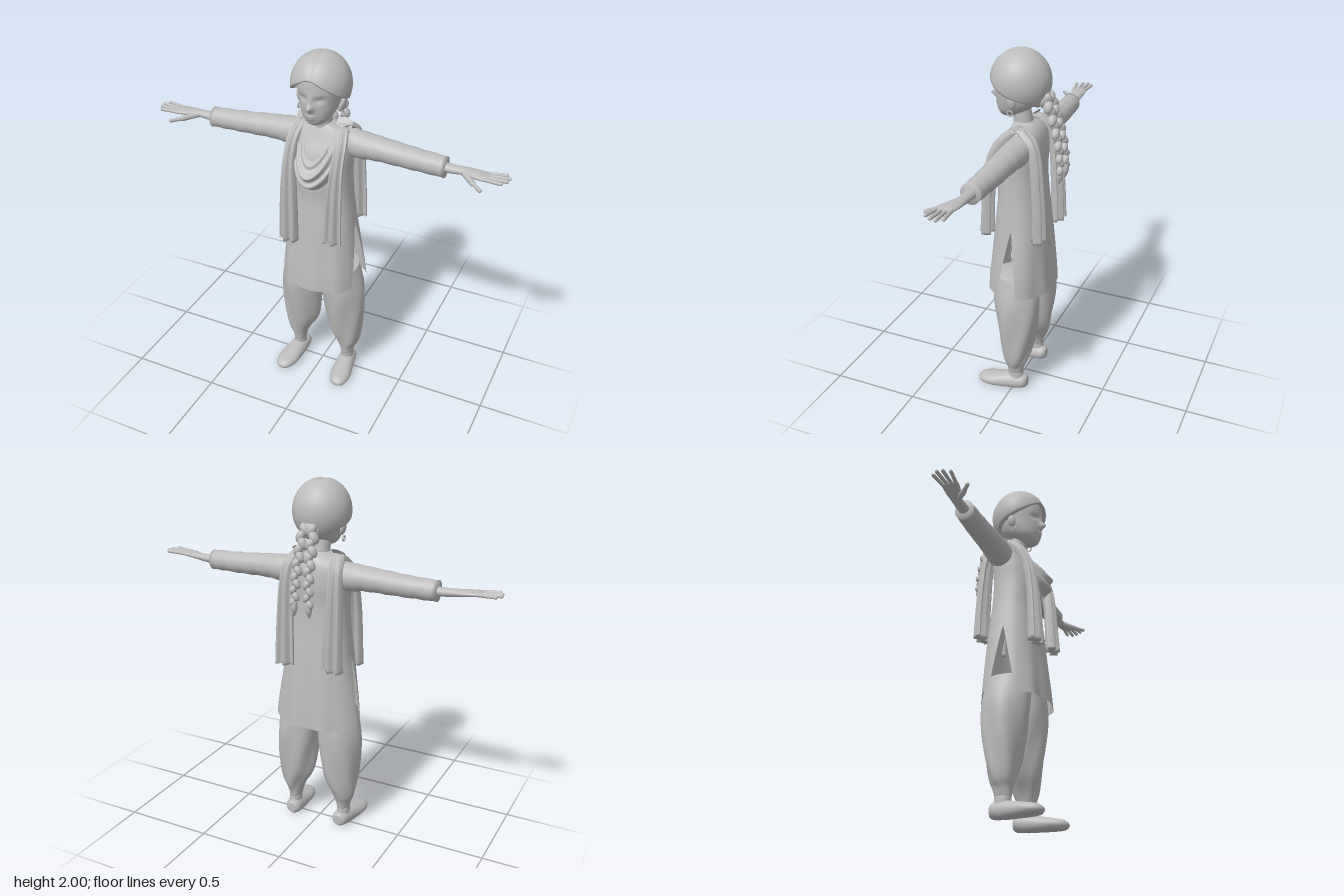
import * as THREE from 'three';
import { mergeGeometries } from 'three/addons/utils/BufferGeometryUtils.js';

const clay = new THREE.MeshStandardMaterial({ color: 0xbcbcbc, side: THREE.DoubleSide });
clay.name = 'clay grey';

// Smooth interpolation through rows of numbers, t in 0..1
function at(rows, t) {
  const f = t * (rows.length - 1), i = Math.min(Math.floor(f), rows.length - 2), k = f - i;
  const row = j => rows[Math.max(0, Math.min(rows.length - 1, j))];
  return row(0).map((_, n) => {
    const [a, b, c, d] = [row(i - 1)[n], row(i)[n], row(i + 1)[n], row(i + 2)[n]];
    return b + 0.5 * k * (c - a + k * (2 * a - 5 * b + 4 * c - d + k * (3 * (b - c) + d - a)));
  });
}

// Surface from point(u, v), optionally closed around u
function grid(nu, nv, point, closed = false) {
  const pos = [], idx = [], cols = closed ? nu : nu + 1;
  for (let j = 0; j <= nv; j++)
    for (let i = 0; i < cols; i++) pos.push(...point(i / nu, j / nv));
  for (let j = 0; j < nv; j++)
    for (let i = 0; i < nu; i++) {
      const a = j * cols + i, b = j * cols + (i + 1) % cols, c = a + cols, d = b + cols;
      idx.push(a, c, b, b, c, d);
    }
  const g = new THREE.BufferGeometry();
  g.setAttribute('position', new THREE.Float32BufferAttribute(pos, 3));
  g.setIndex(idx);
  g.computeVertexNormals();
  return g;
}

// Capped loft; sections are [along, centre1, centre2, radius1, radius2]
function loft(axis, sections, seg = 32, shape = null, e = 1) {
  const n = (sections.length - 1) * 6;
  const pw = v => Math.sign(v) * Math.abs(v) ** e;
  return grid(seg, n + 2, (u, v) => {
    const r = Math.round(v * (n + 2)) - 1, t = Math.max(0, Math.min(n, r)) / n;
    const cap = r < 0 || r > n ? 0 : 1, a = u * Math.PI * 2;
    const [s, c1, c2, r1, r2] = at(sections, t);
    const p = c1 + cap * r1 * pw(Math.cos(a)), q = c2 + cap * r2 * pw(Math.sin(a));
    const out = axis === 'y' ? [p, s, q] : axis === 'x' ? [s, q, p] : [q, p, s];
    if (shape && cap) shape(out, a, t);
    return out;
  }, true);
}

function ball(x, y, z, rx, ry, rz, tilt = 0) {
  return new THREE.SphereGeometry(1, 16, 12).scale(rx, ry, rz).rotateZ(tilt).translate(x, y, z);
}

// Rounded finger from a to b
function finger(a, b, r) {
  const p = new THREE.Vector3(...a), d = new THREE.Vector3(...b).sub(p), len = d.length();
  const g = new THREE.CapsuleGeometry(r, len, 5, 10).translate(0, len / 2, 0);
  g.applyQuaternion(new THREE.Quaternion().setFromUnitVectors(new THREE.Vector3(0, 1, 0), d.normalize()));
  return g.translate(...p.toArray());
}

function mirrored(g) {
  const m = g.clone().scale(-1, 1, 1), ix = m.index.array;
  for (let i = 0; i < ix.length; i += 3) [ix[i], ix[i + 1]] = [ix[i + 1], ix[i]];
  m.computeVertexNormals();
  return m;
}

const bump = (x, y, sx, sy) => Math.exp(-((x / sx) ** 2) - (y / sy) ** 2);

export function createModel() {
  const model = new THREE.Group();
  const add = (name, g) => {
    const m = new THREE.Mesh(g, clay);
    m.name = name;
    model.add(m);
  };
  const pair = (name, g) => { add(name + 'Left', g); add(name + 'Right', mirrored(g)); };

  // Head with sculpted nose, eye sockets and lips
  add('head', loft('y', [
    [1.635, 0, 0.09, 0.02, 0.02], [1.65, 0, 0.08, 0.05, 0.052], [1.68, 0, 0.06, 0.078, 0.085],
    [1.72, 0, 0.04, 0.096, 0.112], [1.77, 0, 0.03, 0.108, 0.122], [1.83, 0, 0.022, 0.118, 0.133],
    [1.9, 0, 0.02, 0.11, 0.125], [1.95, 0, 0.02, 0.08, 0.09], [1.98, 0, 0.02, 0.03, 0.03],
  ], 80, p => {
    if (p[2] < 0.06) return;
    const [x, y] = p;
    p[2] += 0.032 * bump(x, y - 1.745, 0.017, 0.018) + 0.012 * bump(x, y - 1.775, 0.013, 0.03)
      - 0.013 * bump(Math.abs(x) - 0.045, y - 1.79, 0.024, 0.014)
      + 0.009 * bump(x, y - 1.698, 0.022, 0.007) + 0.007 * bump(x, y - 1.682, 0.018, 0.006);
  }));
  add('neck', loft('y', [[1.53, 0, 0, 0.07, 0.06], [1.6, 0, 0.005, 0.052, 0.052], [1.7, 0, 0.02, 0.048, 0.05]]));
  pair('ear', ball(0.122, 1.745, 0.02, 0.014, 0.036, 0.024, -0.2));
  pair('earring', new THREE.TorusGeometry(0.014, 0.004, 6, 16).rotateY(Math.PI / 2).translate(0.122, 1.69, 0.03));

  // Hair cap with centre parting, its edge rising over the forehead
  const hairline = [[1.9], [1.86], [1.81], [1.775], [1.75], [1.72], [1.7]];
  add('hair', grid(72, 28, (u, v) => {
    const a = u * Math.PI * 2, w = Math.abs(u > 0.5 ? u - 1 : u) * 2;
    const end = Math.acos((at(hairline, w)[0] - 1.83) / 0.17);
    const tuck = v > 0.999 ? 0.86 : 1, f = end * Math.min(1, v * 28 / 27);
    const x = 0.157 * Math.sin(f) * Math.sin(a) * tuck, z = 0.162 * Math.sin(f) * Math.cos(a) * tuck;
    const part = z > -0.03 ? 0.008 * Math.exp(-((x / 0.014) ** 2)) : 0;
    return [x, 1.83 + 0.17 * Math.cos(f) - part, 0.02 + z];
  }, true));
  add('hairKnot', ball(0, 1.75, -0.115, 0.055, 0.05, 0.035));

  // Two plaits of overlapping strands
  const strands = [];
  for (let i = 0; i < 12; i++) {
    const t = i / 11, s = i % 2 ? 1 : -1, r = 0.03 - 0.01 * t;
    const z = -0.135 - 0.085 * Math.sin(t * Math.PI / 2);
    strands.push(ball(0.028 + 0.014 * t + s * 0.009, 1.755 - 0.37 * t, z, r * 0.85, r * 1.25, r * 0.9, s * 0.5));
  }
  strands.push(loft('y', [[1.31, 0.045, -0.215, 0.004, 0.004], [1.35, 0.043, -0.218, 0.018, 0.017],
    [1.39, 0.042, -0.22, 0.014, 0.014]], 12));
  strands.forEach(g => g.deleteAttribute('uv'));
  pair('plait', mergeGeometries(strands));

  // Tunic: front and back halves joined above the side slits; rows are [y, half width, front z, back z]
  const tunic = [
    [0.64, 0.226, 0.182, 0.17], [0.74, 0.22, 0.175, 0.165], [0.85, 0.21, 0.163, 0.157],
    [1.04, 0.191, 0.145, 0.14], [1.2, 0.172, 0.13, 0.122], [1.34, 0.164, 0.138, 0.113],
    [1.45, 0.168, 0.13, 0.118], [1.54, 0.165, 0.085, 0.108], [1.59, 0.12, 0.06, 0.085], [1.62, 0.05, 0.045, 0.045],
  ];
  for (const front of [true, false]) {
    add(front ? 'tunicFront' : 'tunicBack', grid(40, 54, (u, v) => {
      const [y, rx, zf, zb] = at(tunic, v), open = Math.max(0, (1.04 - y) / 0.4);
      const slit = open * (front ? 0.38 : 0.22), a = slit + u * (Math.PI - 2 * slit);
      const c = Math.cos(a), edge = Math.abs(c) ** 4;
      const x = Math.sign(c) * Math.abs(c) ** 0.85 * (rx + (front ? 0 : 0.033 * open * edge));
      const z = Math.sin(a) ** 0.8 * (front ? zf : -zb);
      const fold = 0.006 * open * Math.sin(a * 9) * Math.sin(a);
      return front ? [x, y, z + fold] : [-x, y + 0.03 * open * edge, z + fold];
    }));
  }

  // Sleeves, hands and fingers
  pair('sleeve', loft('x', [
    [0.08, -0.03, 1.53, 0.05, 0.055], [0.17, -0.03, 1.507, 0.073, 0.075], [0.3, -0.026, 1.505, 0.068, 0.065],
    [0.5, -0.02, 1.495, 0.06, 0.058], [0.67, -0.012, 1.49, 0.053, 0.054],
  ], 32, (p, a, t) => { p[1] += 0.002 * Math.sin(t * 50 + a); }));
  pair('hand', loft('x', [
    [0.6, -0.012, 1.49, 0.032, 0.026], [0.7, -0.012, 1.49, 0.029, 0.023], [0.76, -0.01, 1.494, 0.029, 0.02],
    [0.82, 0.002, 1.498, 0.041, 0.017], [0.87, 0.012, 1.5, 0.045, 0.014], [0.895, 0.014, 1.501, 0.038, 0.008],
  ], 24));
  const fingers = [[-0.021, 0.97, -0.033], [0.001, 0.99, -0.004], [0.023, 0.985, 0.027], [0.045, 0.965, 0.06]];
  for (const [z0, x1, z1] of fingers) pair('finger', finger([0.87, 1.5, z0], [x1, 1.506, z1], 0.0095));
  pair('thumb', mergeGeometries([finger([0.77, 1.488, 0.008], [0.83, 1.478, 0.065], 0.015),
    finger([0.83, 1.478, 0.065], [0.878, 1.474, 0.108], 0.0105)]));

  // Scarf draped over the chest in rolling folds
  add('scarfDrape', grid(56, 30, (u, v) => {
    const a = (u - 0.5) * Math.PI * 1.1, s = Math.sin(a), c = Math.cos(a);
    const ripple = 0.011 * Math.sin(v * Math.PI * 6) * Math.max(0, c) ** 0.5;
    return [(0.075 + 0.083 * v) * s, 1.612 - (0.16 + 0.18 * v) * c - 0.04 * v * v * s * s,
      c * (0.15 + 0.012 * v + 0.055 * Math.sin(v * Math.PI)) + ripple];
  }));

  // Pleated scarf ends hanging in front and behind
  const pleat = (p, a, t) => { p[2] += 0.014 * (1 - 0.6 * t) * Math.sin(Math.cos(a) * 7); };
  const frontEnd = low => loft('y', [
    [low, 0.13, 0.165, 0.054, 0.026], [1.12, 0.13, 0.16, 0.05, 0.024], [1.28, 0.132, 0.15, 0.044, 0.024],
    [1.42, 0.135, 0.125, 0.036, 0.026], [1.53, 0.132, 0.075, 0.035, 0.03], [1.6, 0.115, 0.01, 0.035, 0.03],
  ], 48, pleat);
  add('scarfFrontEndLeft', frontEnd(0.99));
  add('scarfFrontEndRight', mirrored(frontEnd(0.94)));
  pair('scarfBackEnd', loft('y', [
    [1, 0.145, -0.145, 0.058, 0.026], [1.15, 0.145, -0.142, 0.054, 0.024], [1.32, 0.145, -0.132, 0.048, 0.024],
    [1.46, 0.143, -0.118, 0.042, 0.026], [1.56, 0.135, -0.085, 0.04, 0.032], [1.615, 0.115, -0.02, 0.035, 0.035],
  ], 48, pleat));

  // Baggy trousers with slanting folds, gathered at the ankle
  pair('trouserLeg', loft('y', [
    [0.11, 0.157, -0.008, 0.036, 0.045], [0.15, 0.157, -0.01, 0.046, 0.053], [0.2, 0.157, -0.012, 0.067, 0.069],
    [0.3, 0.14, -0.014, 0.1, 0.094], [0.45, 0.134, -0.012, 0.117, 0.118], [0.6, 0.126, -0.006, 0.121, 0.13],
    [0.75, 0.105, 0, 0.105, 0.125],
  ], 56, (p, a, t) => {
    const k = 1 + 0.045 * Math.sin(Math.PI * t) * Math.sin(a * 5 + t * 9);
    p[0] = 0.14 + (p[0] - 0.14) * k;
    p[2] *= k;
  }));

  // Feet and slip-on shoes
  pair('ankle', loft('y', [[0.05, 0.158, -0.015, 0.036, 0.045], [0.09, 0.158, -0.01, 0.036, 0.045],
    [0.14, 0.157, -0.008, 0.034, 0.042]], 20));
  pair('shoe', loft('z', [
    [-0.08, 0.04, 0.152, 0.03, 0.02], [-0.06, 0.04, 0.153, 0.042, 0.043], [0, 0.035, 0.158, 0.052, 0.051],
    [0.06, 0.03, 0.165, 0.048, 0.056], [0.13, 0.025, 0.173, 0.038, 0.06], [0.19, 0.022, 0.178, 0.028, 0.045],
    [0.215, 0.02, 0.179, 0.01, 0.018],
  ], 32, p => { p[1] = Math.max(0, p[1]); }));

  return model;
}
